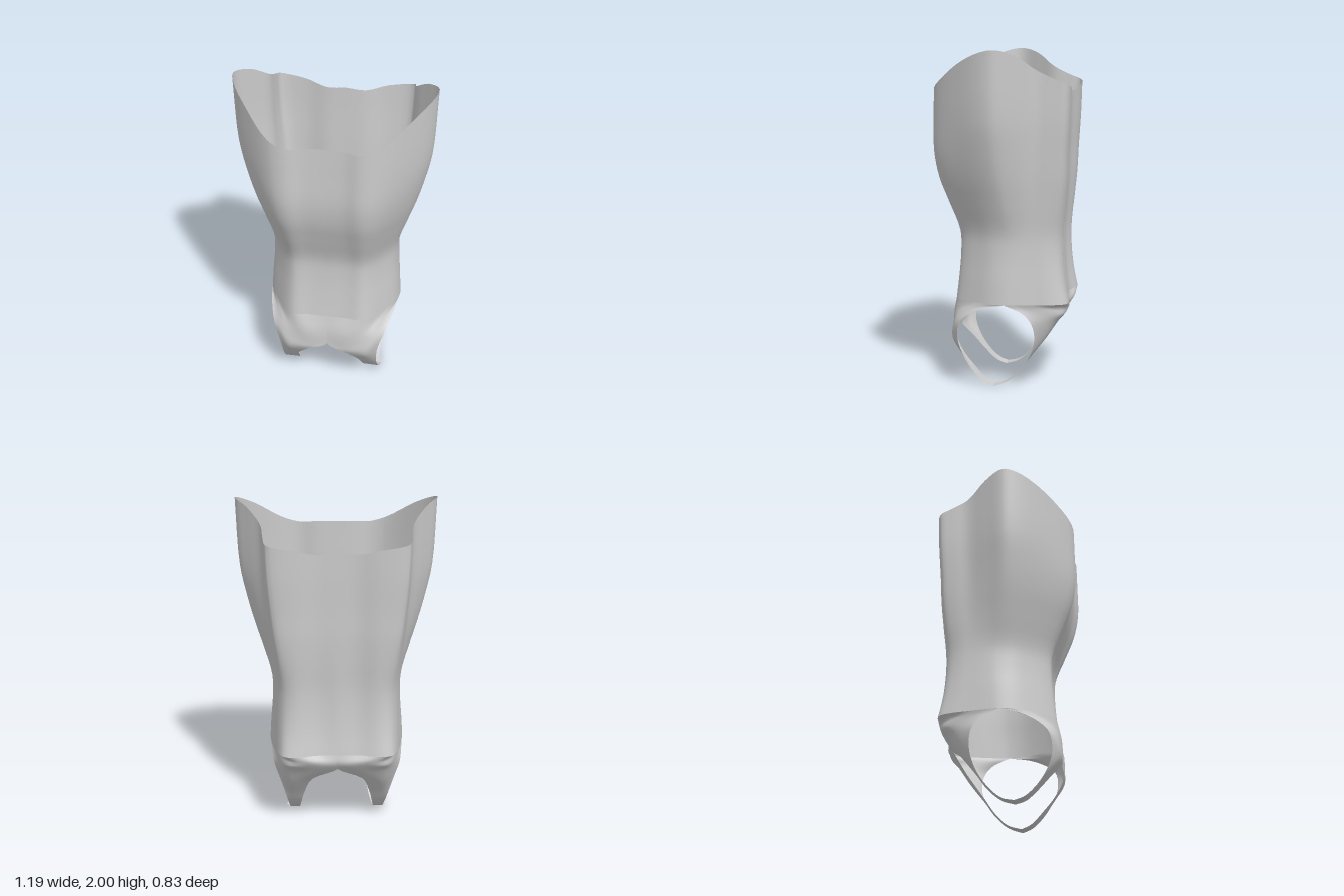
import * as THREE from 'three';
import { mergeVertices } from 'three/addons/utils/BufferGeometryUtils.js';

const V = (p) => new THREE.Vector3(...p);
const curve = (pts) => new THREE.CatmullRomCurve3(pts);
const sample = (pts, n) => curve(pts).getPoints(n);

// Half outlines [x, z] from front centre round the left side to back centre
const HEM = [[0, .39], [.12, .395], [.22, .415], [.32, .385], [.48, .23], [.575, .09], [.592, 0],
  [.52, -.11], [.44, -.22], [.425, -.32], [.405, -.395], [.25, -.405], [.12, -.375], [0, -.37]];
const WAIST = [[0, .255], [.11, .255], [.2, .26], [.25, .23], [.32, .14], [.37, .05], [.387, -.04],
  [.385, -.1], [.37, -.19], [.35, -.27], [.31, -.335], [.24, -.36], [.12, -.335], [0, -.345]];
const HEM_Y = [1.77, 1.77, 1.765, 1.8, 1.92, 1.985, 2, 1.97, 1.89, 1.84, 1.81, 1.78, 1.75, 1.76];

// Levels: height (null = wavy hem), then waist-to-hem blend of width, front depth, back depth
const LEVELS = [[null, 1, .98, 1], [1.6, .9, 1, .9], [1.4, .7, 1, .7], [1.25, .5, .82, .6],
  [1.1, .26, .45, .35], [.93, .01, .03, 0], [.8, 0, 0, 0], [.65, .06, .08, .3], [.52, .1, .18, .8]];

const STEP = 4;      // columns per outline segment
const SIDE = 6;      // outline index at the top of the armhole

function ring([y, tx, tf, tb]) {
  const pts = WAIST.map(([x, z], i) => V([
    x + (HEM[i][0] - x) * tx,
    y ?? HEM_Y[i],
    z + (HEM[i][1] - z) * (i <= SIDE ? tf : tb)]));
  return sample(pts, (WAIST.length - 1) * STEP);
}

// Smooth sheet through rows of equal length, with its mirror image in x
function mirroredSheet(name, rows, steps, material) {
  const columns = rows[0].map((_, c) => sample(rows.map((r) => r[c]), (rows.length - 1) * steps));
  const pos = [], index = [];
  const nc = columns.length, nr = columns[0].length;
  for (const s of [1, -1]) {
    const base = pos.length / 3;
    for (const col of columns) for (const p of col) pos.push(s * p.x, p.y, p.z);
    for (let c = 0; c < nc - 1; c++) {
      for (let r = 0; r < nr - 1; r++) {
        const a = base + c * nr + r, b = a + 1, d = a + nr, e = d + 1;
        if (s > 0) index.push(a, b, d, b, e, d);
        else index.push(a, d, b, b, d, e);
      }
    }
  }
  let geo = new THREE.BufferGeometry();
  geo.setAttribute('position', new THREE.Float32BufferAttribute(pos, 3));
  geo.setIndex(index);
  geo = mergeVertices(geo, 1e-4);
  geo.computeVertexNormals();
  const mesh = new THREE.Mesh(geo, material);
  mesh.name = name;
  return mesh;
}

// A strap row that is almost straight across: inner x, outer x, y, z
const across = (xi, xo, y, z) => [0, 1, 2, 3].map((i) => [xi + (xo - xi) * i / 3, y, z]);

// Rows run from neck edge to armhole edge, from the chest to the strap end
const FRONT = [
  [[0, .42, .3], [.17, .42, .31], [.28, .45, .26], [.385, .485, .12]],
  [[0, .325, .305], [.15, .33, .315], [.28, .38, .29], [.345, .4, .245]],
  [[.11, .275, .31], [.18, .28, .312], [.25, .28, .305], [.31, .29, .265]],
  [[.185, .19, .255], [.22, .19, .255], [.26, .19, .25], [.3, .19, .235]],
  across(.2, .3, .1, .18),
  across(.215, .305, .03, .11),
  across(.23, .31, .005, .05),
];
const BACK = [
  [[0, .47, -.37], [.17, .47, -.385], [.3, .46, -.36], [.395, .47, -.14]],
  [[0, .42, -.34], [.17, .4, -.335], [.3, .41, -.32], [.385, .41, -.19]],
  [[.15, .33, -.275], [.21, .32, -.275], [.29, .31, -.265], [.35, .31, -.205]],
  [[.2, .2, -.18], [.24, .2, -.185], [.28, .2, -.185], [.32, .2, -.175]],
  across(.22, .3, .1, -.11),
  across(.23, .29, .03, -.03),
  across(.23, .31, .005, .05),
];

export function createModel() {
  const group = new THREE.Group();
  group.name = 'sleevelessTop';
  const cloth = new THREE.MeshStandardMaterial({ color: 0xcccccc, side: THREE.DoubleSide });

  // Torso tube from the hem to the armholes
  const rings = LEVELS.map(ring);
  group.add(mirroredSheet('torso', rings, 4, cloth));

  // Front and back yokes start on the torso's last ring and narrow into the straps
  const seam = rings[rings.length - 1];
  const split = SIDE * STEP;
  const frontSeam = seam.slice(0, split + 1), backSeam = seam.slice(split);
  const frontRows = FRONT.map((r) => sample(r.map(V), frontSeam.length - 1));
  const backRows = BACK.map((r) => sample(r.map(V).reverse(), backSeam.length - 1));
  group.add(mirroredSheet('frontYokeAndStraps', [frontSeam, ...frontRows], 4, cloth));
  group.add(mirroredSheet('backYokeAndStraps', [backSeam, ...backRows], 4, cloth));
  return group;
}
